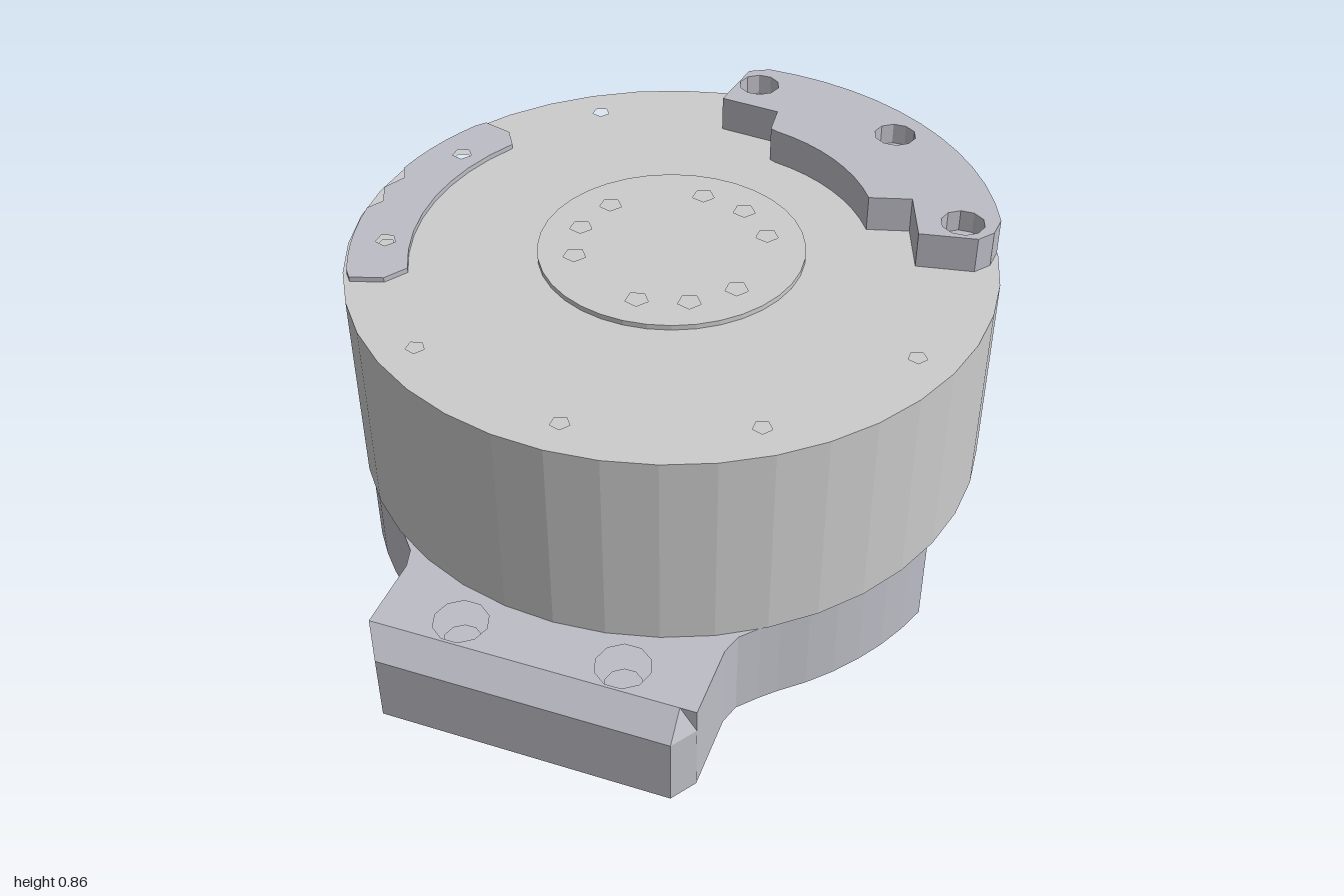
import * as THREE from 'three';

const grey = new THREE.MeshStandardMaterial({ color: 0xcccccc, flatShading: true });
const tinted = new THREE.MeshStandardMaterial({ color: 0xbdbdc6, flatShading: true });

// Points on an arc in the x/z plane, angles in radians measured from +x towards +z
function arc(r, a0, a1, n) {
  return Array.from({ length: n + 1 }, (_, i) => {
    const a = a0 + (a1 - a0) * i / n;
    return [r * Math.cos(a), r * Math.sin(a)];
  });
}

// Flat plate with an x/z outline between two heights; holes are [x, z, radius, sides]
function plate(points, y0, y1, holes = []) {
  const toVec = ([x, z]) => new THREE.Vector2(x, -z);
  const shape = new THREE.Shape(points.map(toVec));
  for (const [x, z, r, n] of holes) {
    const ring = arc(r, 0, Math.PI * 2 * (n - 1) / n, n - 1);
    shape.holes.push(new THREE.Path(ring.map(([u, v]) => toVec([x + u, z + v]))));
  }
  const geo = new THREE.ExtrudeGeometry(shape, { depth: y1 - y0, bevelEnabled: false });
  geo.rotateX(-Math.PI / 2);
  geo.translate(0, y0, 0);
  return geo;
}

export function createModel() {
  const model = new THREE.Group();
  const add = (name, geo, mat, parent = model) => {
    const mesh = new THREE.Mesh(geo, mat);
    mesh.name = name;
    parent.add(mesh);
    return mesh;
  };
  const disc = (r, n) => arc(r, 0, Math.PI * 2 * (n - 1) / n, n - 1);
  const rotated = (pts) => pts.map(([x, z, ...rest]) => [-x, -z, ...rest]);

  // Mounting base: round flange, two bolt tabs and a channel along x
  const base = new THREE.Group();
  base.name = 'mountingBase';
  model.add(base);
  const quarter = [
    ...arc(0.79, 0.322, 0.9, 6),
    [0.455, 0.655], [0.415, 0.7], [0.4, 0.75], [0.4, 0.94], [0.36, 1],
  ];
  const half = [...quarter, ...quarter.map(([x, z]) => [-x, z]).reverse()];
  const halfFloor = [[0.6, 0.25], ...half, [-0.6, 0.25]];
  const boltHoles = (r) => [[0.2, 0.87, r, 10], [-0.2, 0.87, r, 10]];
  const undersideHoles = [[0, 0.705, 0.038, 6], [0.414, 0.57, 0.038, 6], [-0.414, 0.57, 0.038, 6]];
  const halfHoles = [...boltHoles(0.045), ...undersideHoles];
  add('baseFloor', plate([...halfFloor, ...rotated(halfFloor)], 0, 0.055,
    [...halfHoles, ...rotated(halfHoles)]), tinted, base);

  const lower = plate(half, 0.055, 0.18, halfHoles);
  const upper = plate(half, 0.18, 0.24, boltHoles(0.066));
  // Chamfer the outer top edge of the tab
  const pos = upper.attributes.position;
  for (let i = 0; i < pos.count; i++) {
    if (pos.getY(i) > 0.23) pos.setZ(i, Math.min(pos.getZ(i), 0.94));
  }
  upper.computeVertexNormals();
  for (const [side, turn] of [['front', 0], ['back', Math.PI]]) {
    add(side + 'TabLower', lower, tinted, base).rotation.y = turn;
    add(side + 'TabUpper', upper, tinted, base).rotation.y = turn;
  }

  // Core block hanging in the channel just above the floor
  const core = new THREE.BoxGeometry(1.2, 0.172, 0.5);
  core.translate(0, 0.154, 0);
  add('channelCore', core, grey, base);

  // Main drum with a ring of blind screw holes
  const screwRing = Array.from({ length: 10 }, (_, i) => {
    const a = (i + 0.5) * Math.PI / 5;
    return [0.705 * Math.cos(a), 0.705 * Math.sin(a), 0.023, 5];
  });
  const rim = disc(0.8, 40);
  add('drumBody', plate(rim, 0.24, 0.68), grey);
  add('drumTop', plate(rim, 0.68, 0.762, screwRing), grey);

  // Centre output plate with its screw holes
  const hubHoles = [-90, -60, -30, 30, 60, 90, 150, 180, 210].map((d) => {
    const a = d * Math.PI / 180;
    return [0.24 * Math.cos(a), 0.24 * Math.sin(a), 0.029, 5];
  });
  add('centrePlate', plate(disc(0.33, 36), 0.762, 0.775, hubHoles), grey);

  // Thin arc plate with a notched outer edge
  const PI = Math.PI;
  add('thinArcPlate', plate([
    ...arc(0.644, PI + 0.5, PI - 0.5, 8),
    [-0.6, 0.365], [-0.68, 0.39],
    ...arc(0.79, PI - 0.48, PI - 0.13, 5),
    [-0.76, 0.06], [-0.788, 0], [-0.76, -0.06],
    ...arc(0.79, PI + 0.13, PI + 0.48, 5),
    [-0.68, -0.39], [-0.6, -0.365],
  ], 0.762, 0.775, [[-0.67, -0.218, 0.026, 5], [-0.67, 0.218, 0.026, 5]]), tinted);

  // Thick arc bracket with counterbored screw holes
  const bracket = [
    [-0.05, -0.77], [-0.07, -0.6], [0.09, -0.58], [0.1, -0.49],
    ...arc(0.495, -1.33, -0.53, 8),
    [0.53, -0.28], [0.58, -0.135], [0.72, -0.16], [0.75, -0.2],
    ...arc(0.798, -0.33, -1.57, 12),
  ];
  const bracketHoles = (r, n) => [[0, -0.705, r, n], [0.414, -0.57, r, n], [0.67, -0.218, r, n]];
  add('bracketLower', plate(bracket, 0.762, 0.8, bracketHoles(0.028, 5)), tinted);
  add('bracketUpper', plate(bracket, 0.8, 0.856, bracketHoles(0.054, 10)), tinted);

  return model;
}
